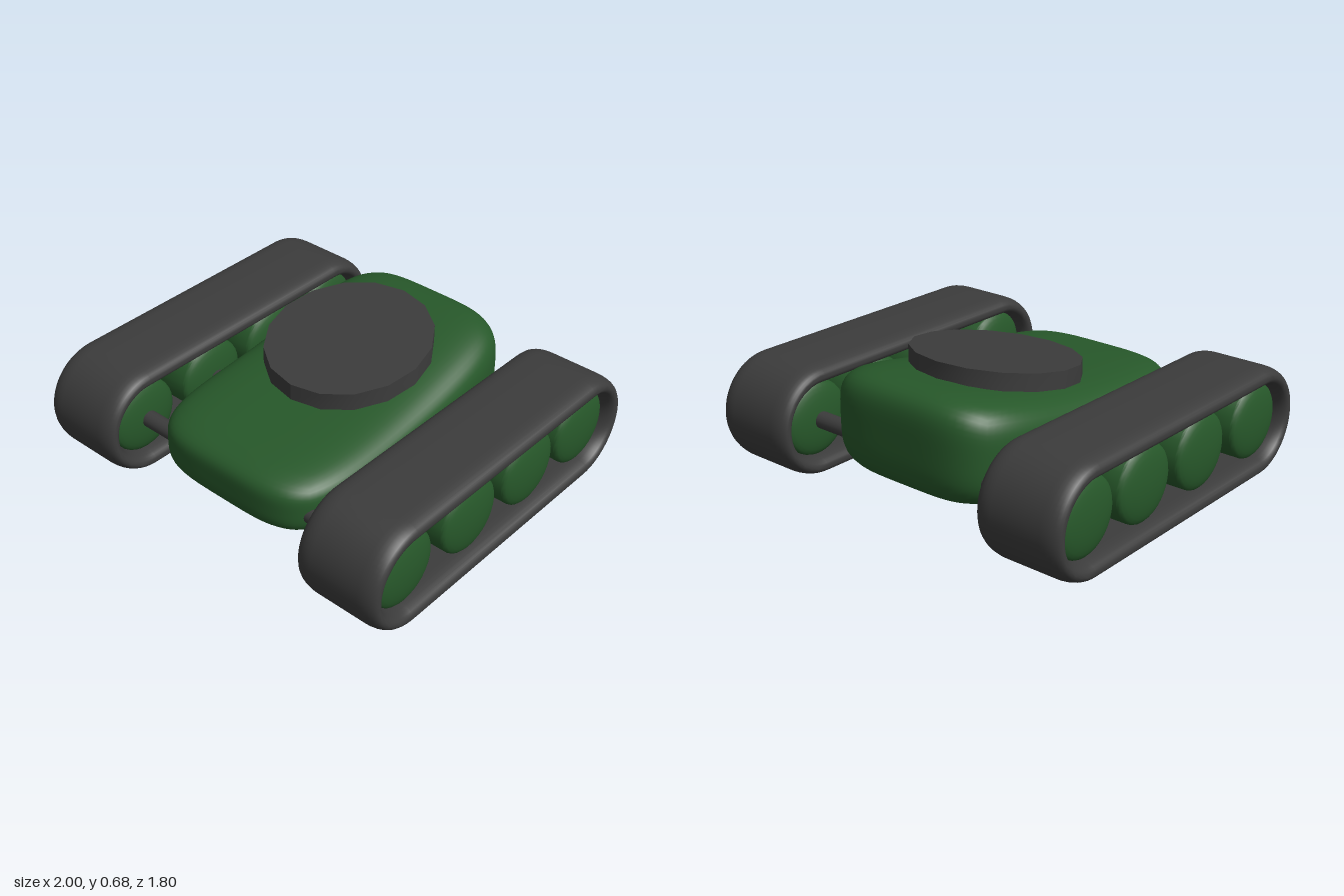
import * as THREE from 'three';
import { mergeVertices, toCreasedNormals } from 'three/addons/utils/BufferGeometryUtils.js';

const green = new THREE.MeshStandardMaterial({ color: 0x27582a });
const grey = new THREE.MeshStandardMaterial({ color: 0x3c3c3c });

const AXLE_Y = 0.27;
const AXLE_Z = [0.635, 0.195, -0.233, -0.635];

function addMesh(parent, name, geometry, material, x = 0, y = 0, z = 0) {
  const mesh = new THREE.Mesh(geometry, material);
  mesh.name = name;
  mesh.position.set(x, y, z);
  parent.add(mesh);
}

// Move every vertex by a rule that edits a Vector3
function mapVertices(geometry, rule) {
  const p = geometry.attributes.position;
  const v = new THREE.Vector3();
  for (let i = 0; i < p.count; i++) {
    rule(v.fromBufferAttribute(p, i));
    p.setXYZ(i, v.x, v.y, v.z);
  }
  geometry.computeVertexNormals();
  return geometry;
}

// Cube pressed into a soft box, taller towards the back
function hullGeometry() {
  const box = new THREE.BoxGeometry(2, 2, 2, 24, 20, 28);
  box.deleteAttribute('normal');
  box.deleteAttribute('uv');
  return mapVertices(mergeVertices(box), (v) => {
    const a = 4, b = 4.5;
    const section = Math.pow(Math.abs(v.x) ** a + Math.abs(v.y) ** a, b / a);
    v.divideScalar(Math.pow(section + Math.abs(v.z) ** b, 1 / b));
    v.x *= 0.507;
    v.z *= 0.766;
    const bottom = 0.1 + 0.03 * v.z;
    const top = 0.5 - 0.145 * v.z + 0.12 * v.z * v.z;
    v.y = THREE.MathUtils.lerp(bottom, top, v.y / 2 + 0.5);
  });
}

// Stadium outline: two half circles joined by straight runs
function stadium(path, halfLength, radius) {
  const c = halfLength - radius;
  path.absarc(c, 0, radius, -Math.PI / 2, Math.PI / 2, false);
  path.absarc(-c, 0, radius, Math.PI / 2, Math.PI * 1.5, false);
  path.closePath();
  return path;
}

// Closed belt with broad rounded shoulders, running along z
function trackGeometry() {
  const shape = stadium(new THREE.Shape(), 0.9, 0.268);
  shape.holes.push(stadium(new THREE.Path(), 0.82, 0.178));
  const geo = new THREE.ExtrudeGeometry(shape, {
    depth: 0.253, curveSegments: 16, bevelEnabled: true,
    bevelThickness: 0.09, bevelSize: 0.037, bevelOffset: -0.037, bevelSegments: 6,
  });
  geo.translate(0, 0, -0.1265);
  geo.rotateY(Math.PI / 2);
  return toCreasedNormals(geo, 0.7);
}

// Drum wheel with a domed face on both sides, axis along x
function wheelGeometry() {
  const radius = 0.183, rim = 0.14, dome = 0.05;
  const profile = [];
  for (let i = 0; i <= 8; i++) {
    const t = (i / 8) * Math.PI / 2;
    profile.push(new THREE.Vector2(radius * Math.sin(t), -rim - dome * Math.cos(t)));
  }
  for (const p of [...profile].reverse()) profile.push(new THREE.Vector2(p.x, -p.y));
  const geo = new THREE.LatheGeometry(profile, 32);
  geo.rotateZ(Math.PI / 2);
  return toCreasedNormals(geo, 0.6);
}

export function createModel() {
  const model = new THREE.Group();
  model.name = 'trackedVehicle';

  addMesh(model, 'hull', hullGeometry(), green);

  // Round deck plate, sloping down towards the front
  const plate = mapVertices(new THREE.CylinderGeometry(0.397, 0.397, 0.085, 16), (v) => { v.y -= 0.158 * v.z; });
  addMesh(model, 'deckPlate', plate, grey, -0.02, 0.57, -0.115);

  // Axles pass through the hull to the wheels
  const axle = new THREE.CylinderGeometry(0.041, 0.041, 1.5, 20).rotateZ(Math.PI / 2);
  for (const z of AXLE_Z) addMesh(model, 'axle', axle, grey, 0, AXLE_Y, z);

  // A belt with four domed wheels on each side
  const track = trackGeometry();
  const wheel = wheelGeometry();
  for (const side of [1, -1]) {
    const unit = new THREE.Group();
    unit.name = side > 0 ? 'leftTrackUnit' : 'rightTrackUnit';
    unit.position.set(side * 0.7835, 0, 0);
    addMesh(unit, 'track', track, grey, 0, 0.268, 0);
    for (const z of AXLE_Z) addMesh(unit, 'wheel', wheel, green, 0, AXLE_Y, z);
    model.add(unit);
  }
  return model;
}
